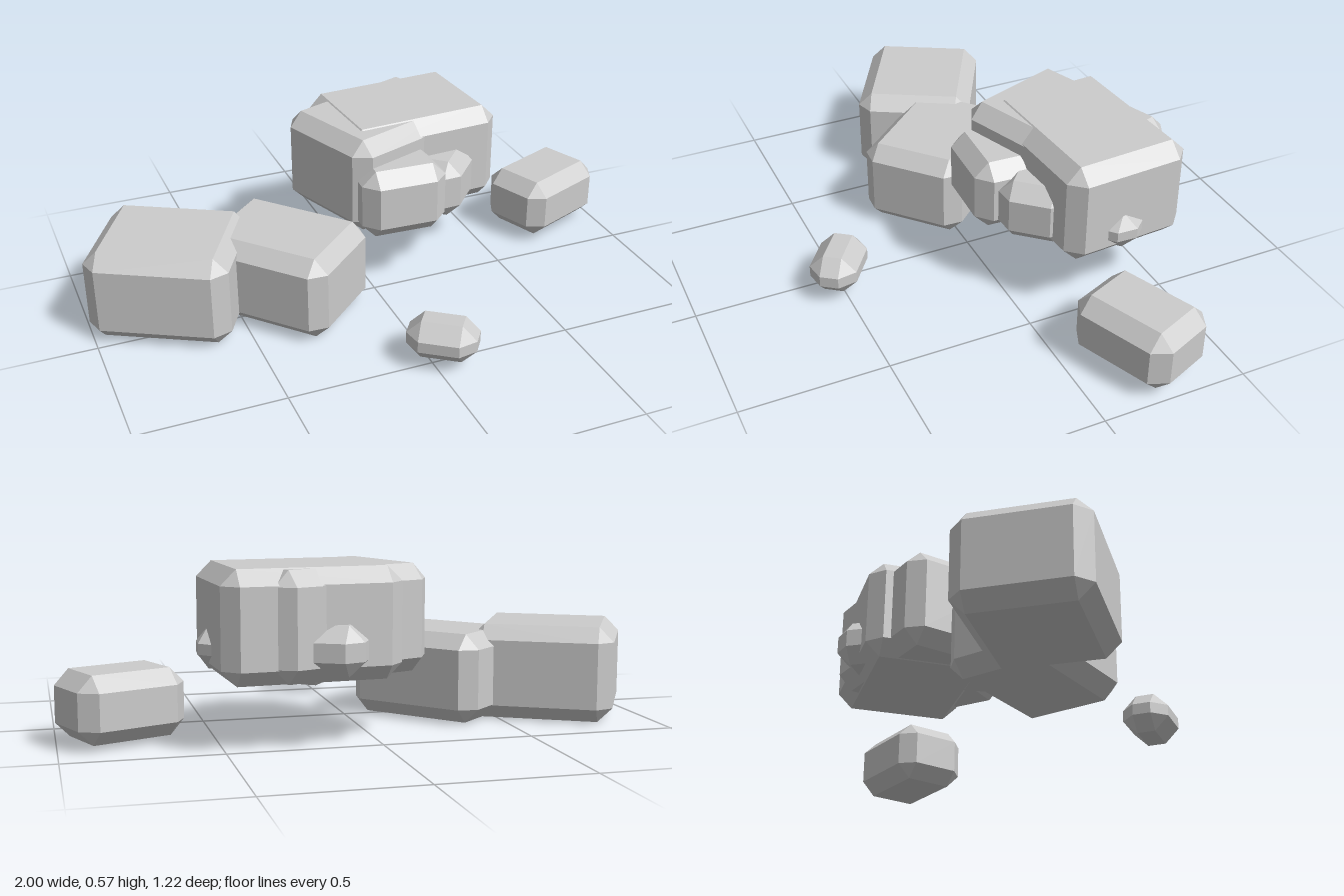
import * as THREE from 'three';
import { ConvexGeometry } from 'three/addons/geometries/ConvexGeometry.js';

const BEVEL = 0.05;

// Box with every edge and corner cut off flat; x, y, z are half sizes.
function bevelledBlock(x, y, z, c = BEVEL) {
  const points = [];
  for (const i of [-1, 1]) for (const j of [-1, 1]) for (const k of [-1, 1]) {
    points.push(
      new THREE.Vector3(i * x, j * (y - c), k * (z - c)),
      new THREE.Vector3(i * (x - c), j * y, k * (z - c)),
      new THREE.Vector3(i * (x - c), j * (y - c), k * z)
    );
  }
  return new ConvexGeometry(points);
}

export function createModel() {
  const group = new THREE.Group();
  group.name = 'rockCluster';
  const material = new THREE.MeshStandardMaterial({ color: 0xcccccc, flatShading: true });

  // name, centre x and z, half width and half depth, bottom, top, turn in degrees
  const rocks = [
    // ground rocks
    ['largeLeftRock', -0.71, -0.117, 0.246, 0.212, 0.003, 0.33, -29],
    ['innerLeftRock', -0.329, -0.024, 0.246, 0.19, 0.006, 0.31, -48],
    ['frontPebble', 0.037, 0.5, 0.118, 0.082, 0.028, 0.167, -36],
    ['rightRock', 0.798, -0.233, 0.184, 0.136, 0.02, 0.24, 22],
    // raised cluster
    ['mainRock', 0.238, -0.326, 0.291, 0.225, 0.212, 0.57, 3.8],
    ['backRock', 0.147, -0.3, 0.285, 0.217, 0.215, 0.566, 20],
    ['frontRock', 0.11, -0.075, 0.155, 0.14, 0.222, 0.475, -2.5],
    ['cornerRock', 0.29, -0.13, 0.12, 0.12, 0.225, 0.44, -42],
    // pebbles embedded in the cluster
    ['sidePebble', 0.468, -0.32, 0.09, 0.09, 0.24, 0.375, 42],
    ['rearPebble', 0.165, -0.503, 0.11, 0.09, 0.235, 0.395, -27]
  ];

  for (const [name, x, z, halfW, halfD, bottom, top, turn] of rocks) {
    const mesh = new THREE.Mesh(bevelledBlock(halfW, (top - bottom) / 2, halfD), material);
    mesh.name = name;
    mesh.position.set(x, (top + bottom) / 2, z);
    mesh.rotation.y = THREE.MathUtils.degToRad(turn);
    group.add(mesh);
  }
  return group;
}
